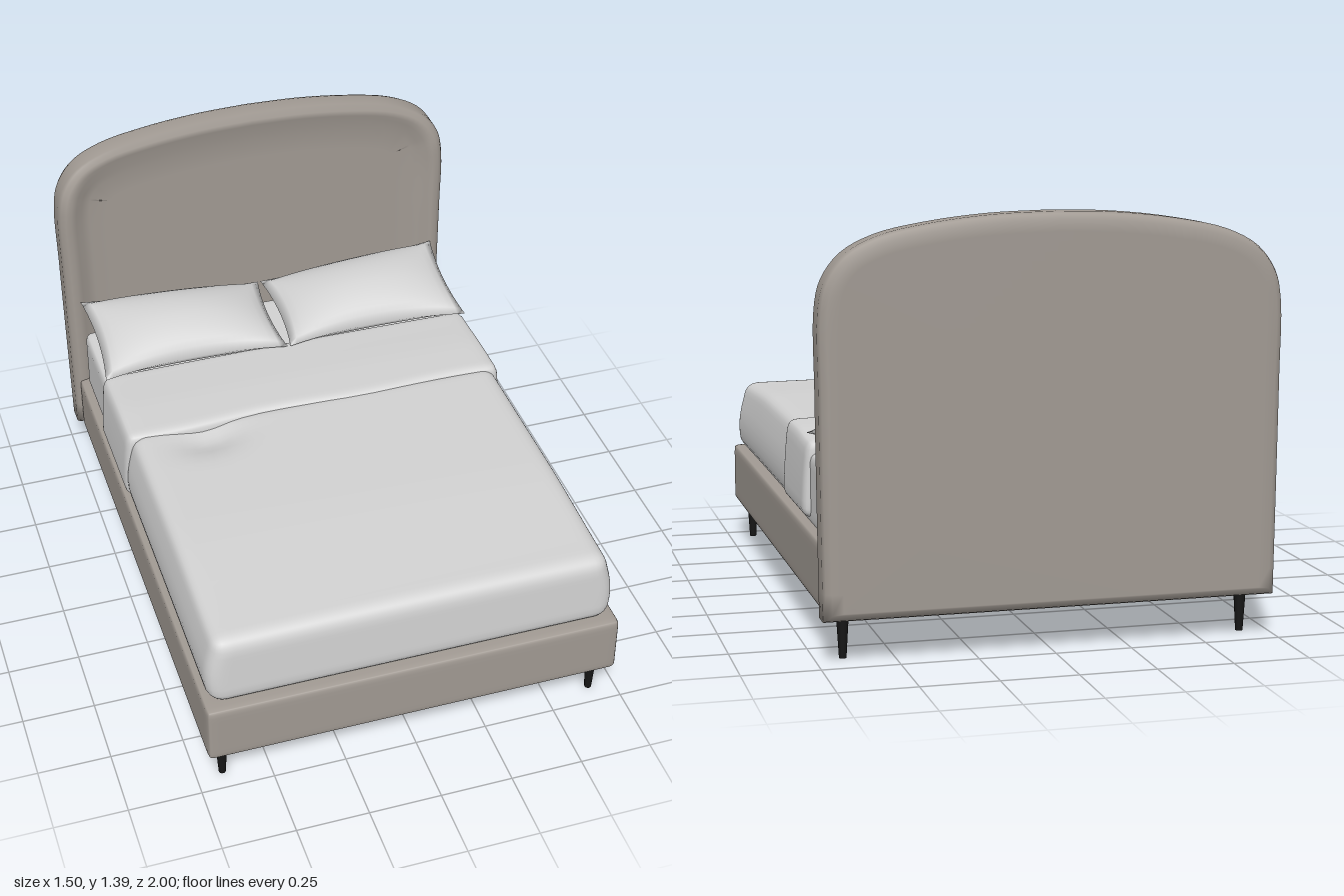
import * as THREE from 'three';
import { mergeVertices } from 'three/addons/utils/BufferGeometryUtils.js';

const mat = (name, color) => {
  const m = new THREE.MeshStandardMaterial({ color });
  m.name = name;
  return m;
};

// Moves every vertex by a rule, then welds the seams and smooths the normals
function reshape(geo, rule) {
  const p = geo.attributes.position, v = new THREE.Vector3();
  for (let i = 0; i < p.count; i++) {
    rule(v.fromBufferAttribute(p, i));
    p.setXYZ(i, v.x, v.y, v.z);
  }
  geo.deleteAttribute('uv');
  geo.deleteAttribute('normal');
  const out = mergeVertices(geo, 1e-5);
  out.computeVertexNormals();
  return out;
}

// Rounded block from min to max, with grid lines gathered near its edges
function softBox(min, max, r, rule = () => {}, n = [24, 12, 24]) {
  const a = new THREE.Vector3(...min), b = new THREE.Vector3(...max);
  const mid = a.clone().add(b).multiplyScalar(0.5);
  const half = b.sub(a).multiplyScalar(0.5);
  const inner = half.clone().subScalar(r), core = new THREE.Vector3();
  const gather = u => Math.sign(u) * (1 - Math.pow(1 - Math.min(1, Math.abs(u)), 2));
  return reshape(new THREE.BoxGeometry(2, 2, 2, ...n), v => {
    v.set(gather(v.x), gather(v.y), gather(v.z)).multiply(half);
    core.copy(v).clamp(inner.clone().negate(), inner);
    v.sub(core);
    if (v.length() > 0) v.setLength(Math.min(r, Math.max(Math.abs(v.x), Math.abs(v.y), Math.abs(v.z))));
    v.add(core).add(mid);
    rule(v);
  });
}

// Arched headboard: outline rings inset step by step from the back to the front panel
function headboardGeometry() {
  const curve = new THREE.CatmullRomCurve3([
    [0.738, 0.14], [0.742, 0.5], [0.745, 0.85], [0.745, 1.1], [0.725, 1.19], [0.665, 1.27],
    [0.56, 1.325], [0.4, 1.36], [0.2, 1.383], [0, 1.39],
  ].map(([x, y]) => new THREE.Vector3(x, y, 0)));
  const N = 36, half = [];
  for (let i = 0; i <= N; i++) {
    const p = curve.getPoint(i / N), t = curve.getTangent(i / N);
    if (i === N) t.set(-1, 0, 0);
    half.push({ x: p.x, y: p.y, nx: t.y, ny: -t.x });
  }
  const outline = half.concat(half.slice(0, N).reverse().map(p => ({ x: -p.x, y: p.y, nx: -p.nx, ny: p.ny })));
  // inset, z
  const rings = [[0.06, -1], [0.025, -0.998], [0.007, -0.988], [0, -0.97], [0, -0.905], [0.008, -0.885],
    [0.025, -0.873], [0.045, -0.872], [0.065, -0.882], [0.09, -0.903], [0.12, -0.913], [0.2, -0.916]];
  const M = outline.length, pos = [], idx = [];
  for (const [inset, z] of rings) {
    for (const o of outline) {
      const thin = z > -0.9 ? 0.022 * THREE.MathUtils.smoothstep(o.y, 1.1, 1.36) : 0;
      pos.push(o.x - o.nx * inset, Math.max(o.y - o.ny * inset, 0.14 + Math.min(inset, 0.03)), z - thin);
    }
  }
  for (let k = 0; k < rings.length - 1; k++) {
    for (let i = 0; i < M; i++) {
      const a = k * M + i, b = k * M + (i + 1) % M;
      idx.push(a, b, a + M, b, b + M, a + M);
    }
  }
  // Back and front faces
  const back = pos.length / 3, last = (rings.length - 1) * M;
  pos.push(0, 0.7, -1, 0, 0.7, -0.908);
  for (let i = 0; i < M; i++) {
    const j = (i + 1) % M;
    idx.push(back, j, i, back + 1, last + i, last + j);
  }
  const g = new THREE.BufferGeometry();
  g.setAttribute('position', new THREE.Float32BufferAttribute(pos, 3));
  g.setIndex(idx);
  g.computeVertexNormals();
  return g;
}

// Plump pillow with pinched corners, leaning up towards the headboard
function pillowGeometry(side) {
  return reshape(new THREE.BoxGeometry(2, 2, 2, 24, 1, 18), v => {
    const u = v.x, w = v.z, up = v.y > 0;
    const plump = Math.pow(Math.max(0, (1 - u * u) * (1 - w * w)), 0.6);
    const outer = u * side;
    const seam = 0.672 - 0.027 * w + (1 - w) * 0.012 * outer;
    v.x = side * 0.35 + 0.345 * u * (1 - 0.05 * (1 - w * w));
    v.z = -0.66 + 0.2 * w * (1 - (w > 0 ? 0.2 : 0.06) * (1 - u * u));
    v.y = seam + (up ? 0.085 : -0.07) * plump;
  });
}

export function createModel() {
  const fabric = mat('taupe upholstery', 0xa19a93);
  const linen = mat('pale linen', 0xd2d2d2);
  const black = mat('black legs', 0x161616);
  const bed = new THREE.Group();
  bed.name = 'bed';
  const add = (name, geo, material, x = 0, y = 0, z = 0) => {
    const m = new THREE.Mesh(geo, material);
    m.name = name;
    m.position.set(x, y, z);
    bed.add(m);
  };

  // Upholstered frame
  add('headboard', headboardGeometry(), fabric);
  add('base', softBox([-0.72, 0.14, -0.89], [0.72, 0.355, 1], 0.018), fabric);

  // Mattress seen at the head end
  add('mattress', softBox([-0.69, 0.34, -0.865], [0.69, 0.587, -0.3], 0.03), linen);

  // Duvet: bulging sides, a top that sinks to the foot, and one rumple by the fold
  add('duvet', softBox([-0.705, 0.345, -0.16], [0.705, 0.634, 0.97], 0.055, v => {
    const h = THREE.MathUtils.clamp((v.y - 0.345) / 0.289, 0, 1);
    v.x *= 0.975 + 0.03 * Math.sin(Math.PI * Math.min(1, h * 1.1 + 0.1));
    v.z -= 0.012 * h * THREE.MathUtils.smoothstep(v.z, 0.8, 0.97);
    const rumple = Math.exp(-(((v.x + 0.42) / 0.11) ** 2) - (((v.z + 0.05) / 0.08) ** 2));
    v.y -= h * (0.022 * THREE.MathUtils.smoothstep(v.z, 0.4, 0.97) + 0.035 * rumple
      + 0.006 * (v.x / 0.7) ** 2);
  }, [36, 14, 36]), linen);

  // Turned-back fold lying across the duvet
  add('duvetFold', softBox([-0.715, 0.368, -0.52], [0.715, 0.645, -0.11], 0.035, v => {
    const h = THREE.MathUtils.clamp((v.y - 0.368) / 0.277, 0, 1);
    v.x *= 1 - 0.025 * h * h;
    v.y -= h * (0.012 * THREE.MathUtils.smoothstep(-v.z, 0.25, 0.52) + 0.006 * (v.x / 0.7) ** 2);
    v.z += 0.008 * Math.sin(v.x * 9) * h * THREE.MathUtils.smoothstep(v.z, -0.25, -0.11);
  }), linen);

  for (const side of [-1, 1]) add(side > 0 ? 'leftPillow' : 'rightPillow', pillowGeometry(side), linen);

  // Tapered legs: four corners and a middle row
  const leg = new THREE.CylinderGeometry(0.021, 0.012, 0.15, 16);
  for (const x of [-0.66, 0.66]) {
    for (const z of [-0.88, 0.925]) add('cornerLeg', leg, black, x, 0.075, z);
  }
  for (const z of [-0.4, 0, 0.4]) add('middleLeg', leg, black, 0, 0.075, z);
  return bed;
}
